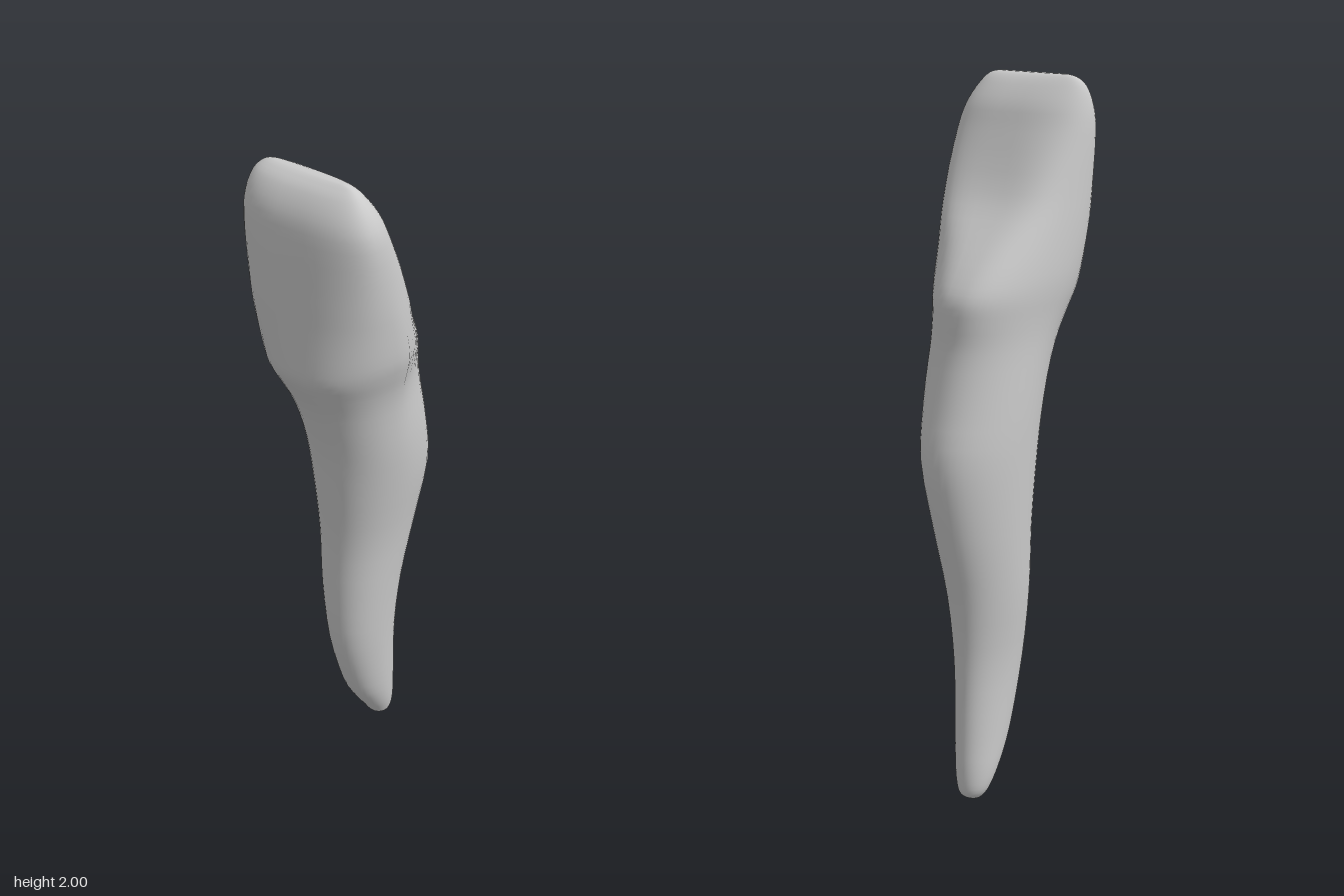
import * as THREE from 'three';

// Bounds of each cross-section: y, right x, left x, back z, front z
const SECTIONS = [
  [0, -0.09, -0.05, -0.155, -0.12],
  [0.012, -0.103, -0.032, -0.172, -0.105],
  [0.04, -0.118, -0.02, -0.18, -0.088],
  [0.1, -0.127, -0.005, -0.18, -0.05],
  [0.2, -0.13, 0.01, -0.173, 0],
  [0.4, -0.135, 0.03, -0.165, 0.055],
  [0.6, -0.155, 0.047, -0.185, 0.07],
  [0.8, -0.168, 0.067, -0.228, 0.075],
  [1.0, -0.177, 0.1, -0.255, 0.1],
  [1.15, -0.18, 0.12, -0.228, 0.125],
  [1.3, -0.18, 0.133, -0.2, 0.17],
  [1.38, -0.185, 0.147, -0.197, 0.207],
  [1.44, -0.192, 0.165, -0.193, 0.235],
  [1.5, -0.196, 0.18, -0.16, 0.242],
  [1.6, -0.196, 0.188, -0.085, 0.25],
  [1.7, -0.194, 0.192, -0.02, 0.255],
  [1.85, -0.19, 0.192, 0.045, 0.256],
  [1.92, -0.182, 0.175, 0.072, 0.247],
  [1.97, -0.168, 0.145, 0.105, 0.222],
  [1.993, -0.148, 0.12, 0.128, 0.195],
  [2.0, -0.125, 0.095, 0.145, 0.178],
];
const SEGMENTS = 48;
const STEPS = 3; // rings per section interval

// Outline of one cross-section, fitted exactly to its bounds
function outline([y, x0, x1, z0, z1]) {
  const crown = THREE.MathUtils.smoothstep(y, 1.2, 1.65);
  const shelf = Math.exp(-(((y - 1.5) / 0.17) ** 2));
  const scoop = 0.03 * Math.exp(-(((y - 1.68) / 0.14) ** 2));
  const power = 2 / (2.15 + 0.6 * crown);
  const hw = (x1 - x0) / 2, hd = (z1 - z0) / 2;
  const points = [];
  for (let j = 0; j < SEGMENTS; j++) {
    const a = (j / SEGMENTS) * Math.PI * 2, c = Math.cos(a), s = Math.sin(a);
    const u = Math.sign(c) * Math.abs(c) ** power;
    const v = Math.sign(s) * Math.abs(s) ** power;
    const back = Math.max(0, -v);
    const x = hw * u * (1 - (0.1 + 0.25 * shelf) * back) - 0.05 * shelf * back;
    // the crown is turned slightly, and its back face is hollowed
    const z = hd * v - 0.2 * crown * x + scoop * back * Math.max(0, 1 - u * u);
    points.push(new THREE.Vector3(x, y, z));
  }
  const box = new THREE.Box3().setFromPoints(points);
  for (const p of points) {
    p.x = THREE.MathUtils.mapLinear(p.x, box.min.x, box.max.x, x0, x1);
    p.z = THREE.MathUtils.mapLinear(p.z, box.min.z, box.max.z, z0, z1);
  }
  return points;
}

export function createModel() {
  const count = SECTIONS.length;
  const curve = new THREE.CubicInterpolant(
    Float32Array.from(SECTIONS.keys()), Float32Array.from(SECTIONS.flat()), 5, new Float32Array(5));
  const points = [];
  const rings = (count - 1) * STEPS + 1;
  let neck = 0;
  for (let i = 0; i < rings; i++) {
    const row = Array.from(curve.evaluate(i / STEPS));
    if (row[0] < 1.28) neck = i;
    points.push(...outline(row));
  }

  // Skin between rings, split at the neck, with closed ends
  const root = [], crown = [];
  for (let i = 0; i < rings - 1; i++) {
    const list = i < neck ? root : crown;
    for (let j = 0; j < SEGMENTS; j++) {
      const k = (j + 1) % SEGMENTS;
      const a = i * SEGMENTS + j, b = i * SEGMENTS + k;
      const c = a + SEGMENTS, d = b + SEGMENTS;
      list.push(a, c, b, b, c, d);
    }
  }
  const last = (rings - 1) * SEGMENTS;
  for (let j = 1; j < SEGMENTS - 1; j++) {
    root.push(0, j, j + 1);
    crown.push(last, last + j + 1, last + j);
  }

  // Normals are found on the whole skin so the neck shades smoothly
  const whole = new THREE.BufferGeometry().setFromPoints(points);
  whole.setIndex([...root, ...crown]);
  whole.computeVertexNormals();

  const group = new THREE.Group();
  group.name = 'tooth';
  const material = new THREE.MeshStandardMaterial({ color: 0xcccccc });
  for (const [name, index] of [['root', root], ['crown', crown]]) {
    const geometry = whole.clone().setIndex(index);
    const mesh = new THREE.Mesh(geometry, material);
    mesh.name = name;
    group.add(mesh);
  }
  return group;
}
